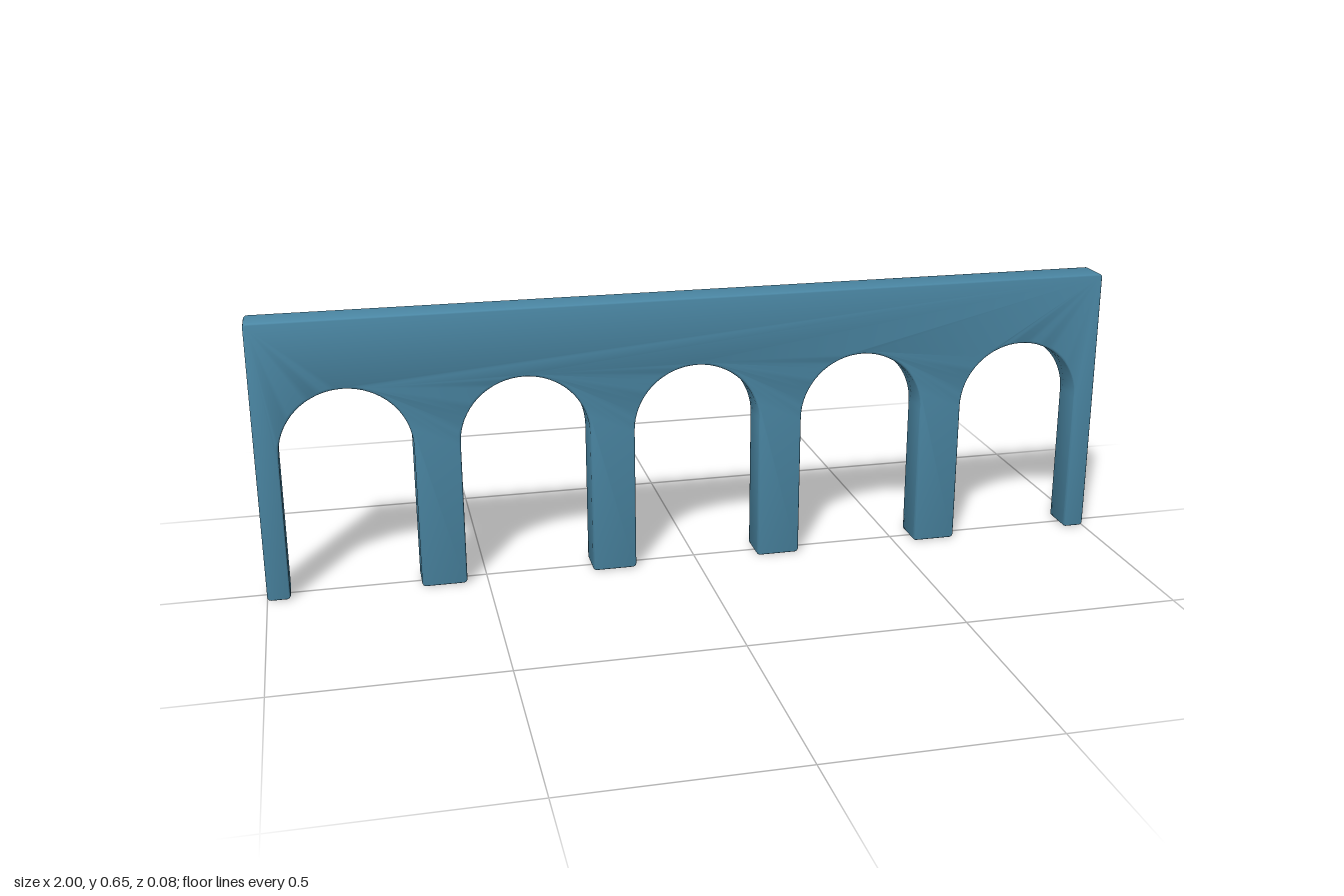
import * as THREE from 'three';
import { toCreasedNormals } from 'three/addons/utils/BufferGeometryUtils.js';

const HEIGHT = 0.65, THICK = 0.082;      // wall size
const SPACING = 0.4, ARCH_R = 0.148;     // arch layout
const SPRING_Y = 0.342;                  // where the arches start to curve
const ROUND = 0.009, BEVEL = 0.007;      // softened edges

export function createModel() {
  const group = new THREE.Group();
  group.name = 'arcade';

  // Outline: feet and arches from left to right, then back along the top
  const shape = new THREE.Shape();
  const corner = (x, y, quarter) =>
    shape.absarc(x, y, ROUND, quarter * Math.PI / 2, (quarter + 1) * Math.PI / 2, false);

  for (let i = 0; i < 6; i++) {
    const x = (i - 2.5) * SPACING;       // pier centre
    const left = Math.max(-1, x - SPACING / 2 + ARCH_R);
    const right = Math.min(1, x + SPACING / 2 - ARCH_R);
    corner(left + ROUND, ROUND, 2);
    corner(right - ROUND, ROUND, 3);
    if (i < 5) shape.absarc(x + SPACING / 2, SPRING_Y, ARCH_R, Math.PI, 0, true);
  }
  corner(1 - ROUND, HEIGHT - ROUND, 0);
  corner(-1 + ROUND, HEIGHT - ROUND, 1);

  // Wall thickness with rounded front and back edges
  const depth = THICK - 2 * BEVEL;
  const geometry = new THREE.ExtrudeGeometry(shape, {
    depth, curveSegments: 16,
    bevelEnabled: true, bevelSize: BEVEL, bevelThickness: BEVEL,
    bevelOffset: -BEVEL, bevelSegments: 4,
  });
  geometry.translate(0, 0, -depth / 2);

  const wall = new THREE.Mesh(
    toCreasedNormals(geometry, 0.6),
    new THREE.MeshStandardMaterial({ color: 0x4a86a3 })
  );
  wall.name = 'archedWall';
  group.add(wall);
  return group;
}
